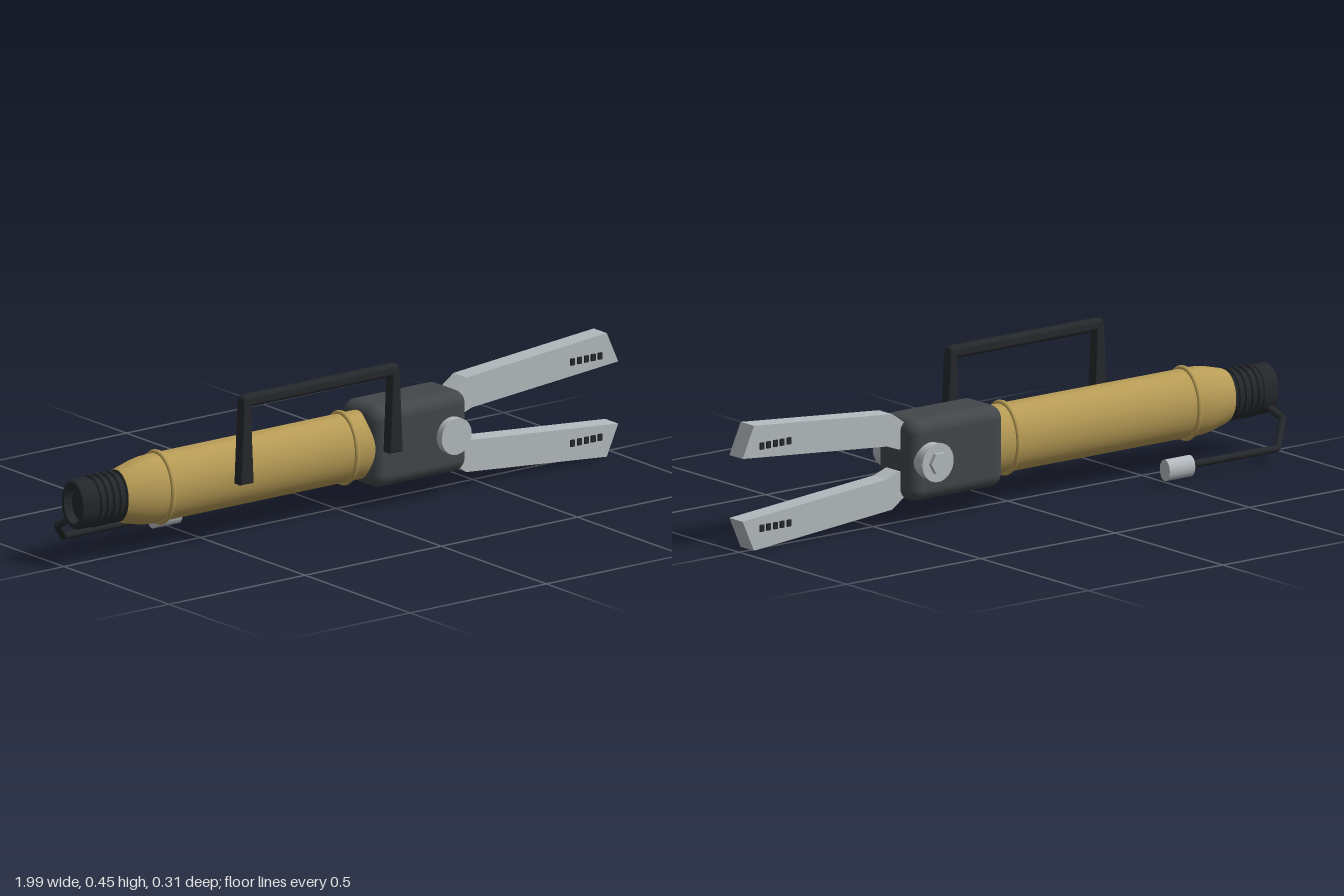
import * as THREE from 'three';
import { toCreasedNormals } from 'three/addons/utils/BufferGeometryUtils.js';
import { RoundedBoxGeometry } from 'three/addons/geometries/RoundedBoxGeometry.js';

const CY = 0.187, CZ = 0.018; // height and depth of the main axis
const OVAL = 0.735;           // the barrel is narrower in z than in y

const material = (color) => new THREE.MeshStandardMaterial({ color });

export function createModel() {
  const group = new THREE.Group();
  const gold = material(0xb89c56), dark = material(0x43474a);
  const black = material(0x25282b), metal = material(0xb4babe);

  const add = (name, geometry, mat, x = 0, y = 0, z = 0) => {
    const mesh = new THREE.Mesh(geometry, mat);
    mesh.name = name;
    mesh.position.set(x, y, z);
    group.add(mesh);
    return mesh;
  };

  // Oval body turned about the x axis from [radius, x] pairs
  const turned = (name, profile, mat) => {
    const geo = new THREE.LatheGeometry(profile.map(([r, x]) => new THREE.Vector2(r, x)), 48);
    geo.rotateZ(-Math.PI / 2).scale(1, 1, OVAL);
    return add(name, toCreasedNormals(geo, 0.6), mat, 0, CY, CZ);
  };

  // Barrel with tapered rear
  turned('barrel', [[0, -0.82], [0.078, -0.82], [0.083, -0.81], [0.097, -0.755],
    [0.102, -0.725], [0.103, -0.7], [0.103, 0.1], [0, 0.1]], gold);
  for (const x of [-0.67, 0.005]) {
    const ring = new THREE.TorusGeometry(0.104, 0.009, 10, 48).rotateY(Math.PI / 2).scale(1, 1, OVAL);
    add('barrelRing', ring, gold, x, CY, CZ);
  }

  // Ribbed rear nozzle with a recessed mouth
  const nozzle = [[0, -0.955], [0.052, -0.955], [0.056, -0.982], [0.07, -0.982], [0.075, -0.974], [0.075, -0.93]];
  for (let i = 0; i < 5; i++) {
    const x = -0.926 + i * 0.024;
    nozzle.push([0.07, x], [0.07, x + 0.005], [0.078, x + 0.009], [0.078, x + 0.017], [0.07, x + 0.021]);
  }
  nozzle.push([0.07, -0.8], [0, -0.8]);
  turned('nozzle', nozzle, black);

  // Jaw housing
  add('housing', new RoundedBoxGeometry(0.35, 0.245, 0.175, 6, 0.04), dark, 0.235, CY, CZ);

  // Pivot bolt through the housing
  const disc = (name, radius, z0, z1, sides = 40) => {
    const geo = new THREE.CylinderGeometry(radius, radius, z1 - z0, sides).rotateX(Math.PI / 2);
    if (sides === 6) geo.rotateZ(Math.PI / 6);
    add(name, toCreasedNormals(geo, 0.6), metal, 0.342, CY, (z0 + z1) / 2);
  };
  disc('pivot', 0.055, -0.094, 0.13);
  disc('pivotNeck', 0.045, -0.1, -0.09);
  disc('pivotWasher', 0.058, -0.104, -0.098);
  disc('pivotNut', 0.034, -0.117, -0.1, 6);

  // Two mirrored jaws with small dark grip studs
  for (const s of [1, -1]) {
    const outline = [[0.36, 0.033], [0.415, 0.033], [0.46, 0.049], [0.997, 0.094],
      [0.955, 0.187], [0.44, 0.143], [0.39, 0.108], [0.36, 0.095]];
    const shape = new THREE.Shape(outline.map(([x, y]) => new THREE.Vector2(x, s * y)));
    const geo = new THREE.ExtrudeGeometry(shape, { depth: 0.062, bevelEnabled: false }).translate(0, 0, -0.031);
    add(s > 0 ? 'upperJaw' : 'lowerJaw', geo, metal, 0, CY, CZ);
    for (let i = 0; i < 5; i++) {
      add('jawStud', new THREE.BoxGeometry(0.014, 0.02, 0.074), black, 0.827 + i * 0.0253, CY + s * 0.123, CZ);
    }
  }

  // Side handle: bar on two tapered legs
  const HZ = 0.138;
  add('handleBar', new RoundedBoxGeometry(0.575, 0.038, 0.035, 4, 0.013), black, -0.172, 0.435, HZ);
  const leg = new THREE.Shape([[-0.02, 0.19], [0.02, 0.19], [0.009, 0.43], [-0.009, 0.43]]
    .map(([x, y]) => new THREE.Vector2(x, y)));
  for (const x of [-0.445, 0.102]) {
    const geo = new THREE.ExtrudeGeometry(leg, {
      depth: 0.025, bevelSize: 0.004, bevelThickness: 0.005, bevelSegments: 2,
    }).translate(0, 0, -0.0125);
    add('handleLeg', geo, black, x, 0, HZ);
  }

  // Bent cable from the nozzle to a small plug
  const bends = [[-0.955, 0.14, -0.015], [-0.98, 0.108, -0.057], [-0.9, 0.045, -0.131], [-0.56, 0.045, -0.131]]
    .map((p) => new THREE.Vector3(...p));
  const path = new THREE.CurvePath();
  for (let i = 0; i < 3; i++) path.add(new THREE.LineCurve3(bends[i], bends[i + 1]));
  add('cable', new THREE.TubeGeometry(path, 80, 0.011, 10), black);
  const plug = new THREE.CylinderGeometry(0.032, 0.032, 0.095, 32).rotateZ(Math.PI / 2).scale(1, 1, 0.73);
  add('plug', plug, metal, -0.528, 0.043, -0.131);

  return group;
}
